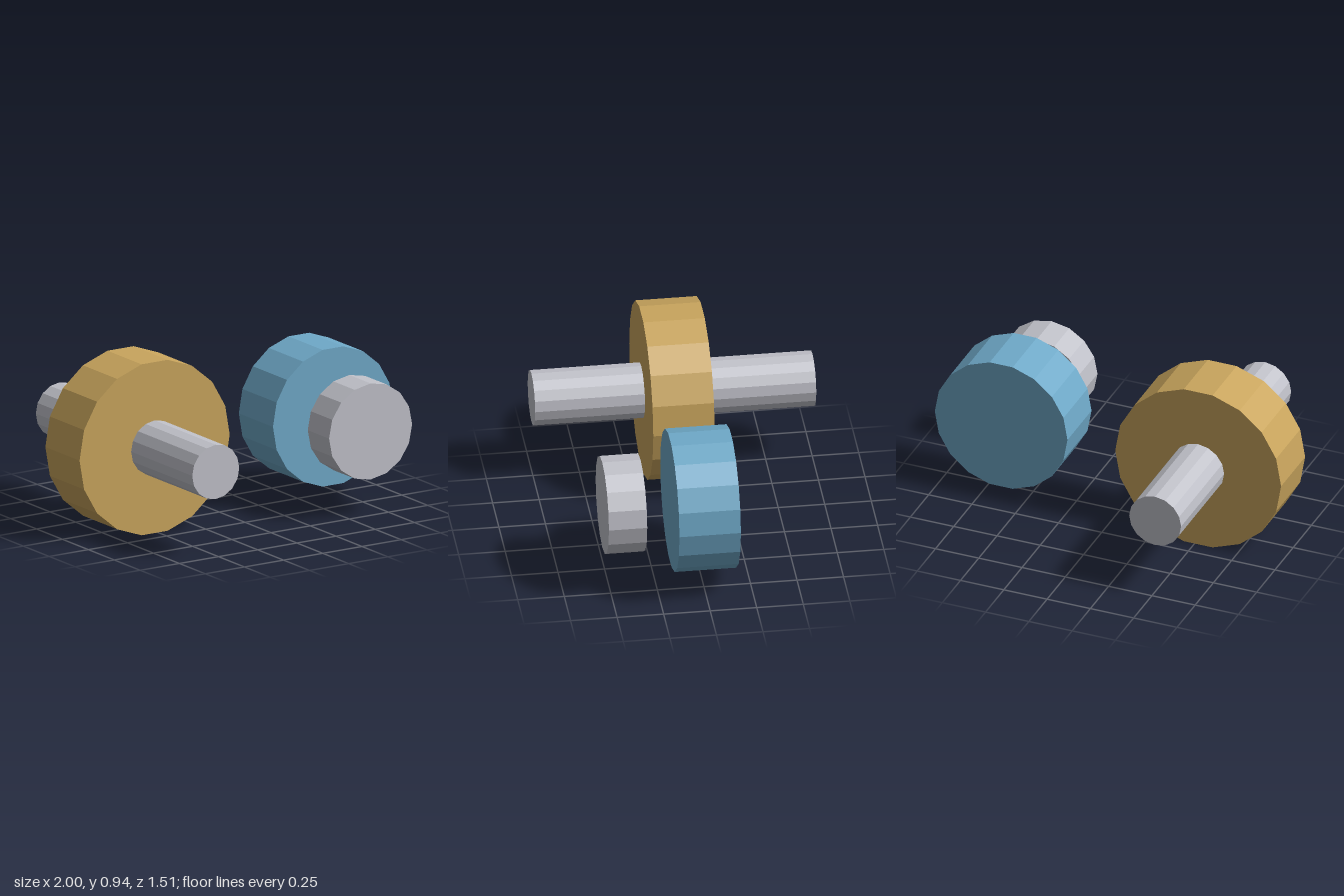
import * as THREE from 'three';

export function createModel() {
  const model = new THREE.Group();
  const material = (name, color) => {
    const m = new THREE.MeshStandardMaterial({ color, flatShading: true });
    m.name = name;
    return m;
  };
  const brass = material('brass', 0xc9a55d);
  const blue = material('blue', 0x6fa9c8);
  const steel = material('steel', 0xc0c1c9);

  const axisY = 0.473;

  // Faceted disc lying along z, with a corner pointing to +x
  const disc = (name, mat, x, radius, sides, z0, z1) => {
    const geometry = new THREE.CylinderGeometry(radius, radius, z1 - z0, sides)
      .rotateY(Math.PI / 2)
      .rotateX(Math.PI / 2);
    const mesh = new THREE.Mesh(geometry, mat);
    mesh.name = name;
    mesh.position.set(x, axisY, (z0 + z1) / 2);
    model.add(mesh);
  };

  // Large wheel on its through shaft
  disc('largeWheel', brass, -0.521, 0.479, 18, -0.165, 0.165);
  disc('shaft', steel, -0.521, 0.15, 16, -0.755, 0.755);

  // Small wheel with a separate collar in front
  disc('smallWheel', blue, 0.617, 0.383, 18, -0.165, 0.165);
  disc('collar', steel, 0.617, 0.265, 16, 0.322, 0.528);

  return model;
}
